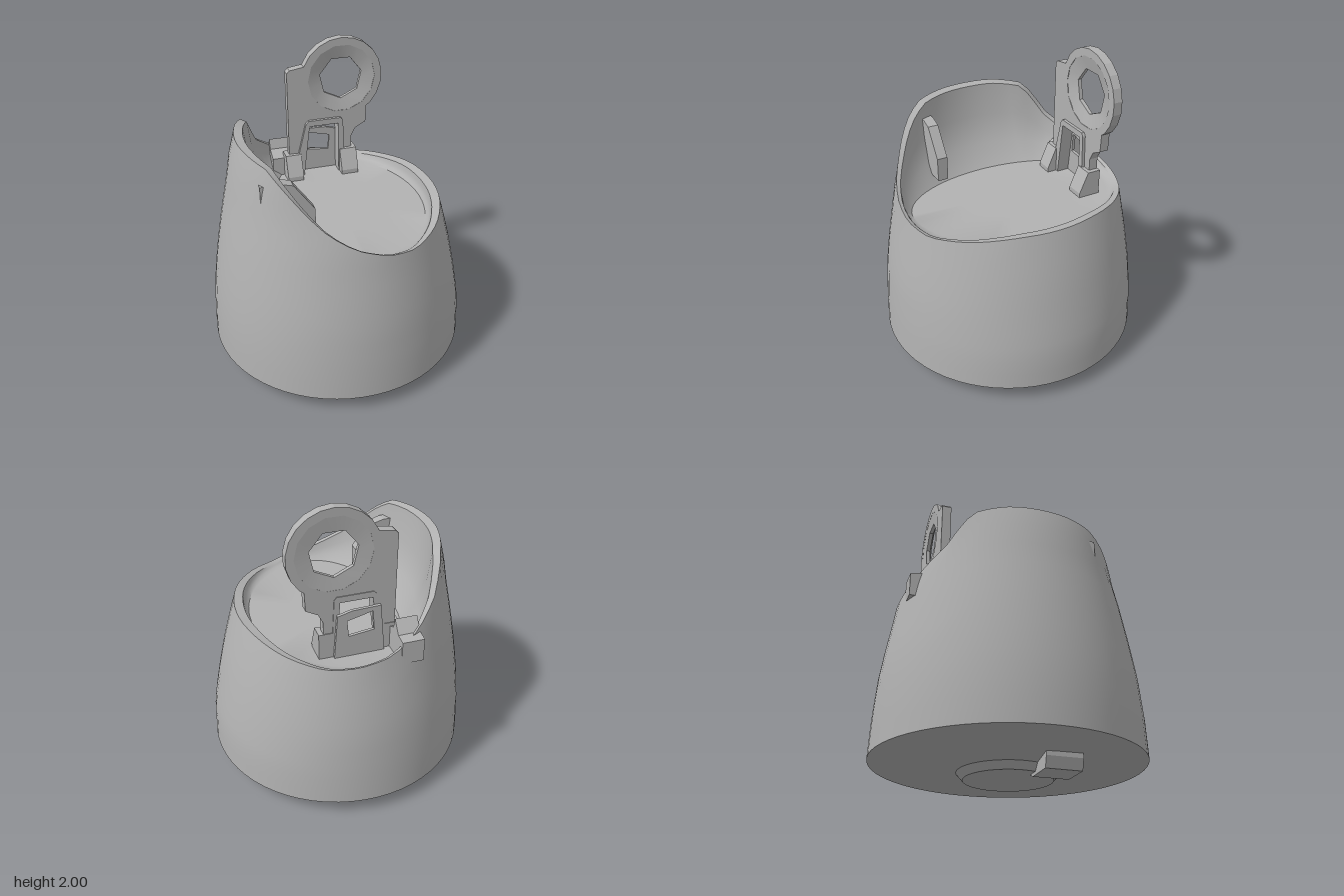
import * as THREE from 'three';
import { toCreasedNormals } from 'three/addons/utils/BufferGeometryUtils.js';

const grey = new THREE.MeshStandardMaterial({ color: 0xb2b2b2 });
grey.name = 'grey';

// Piecewise linear lookup
function lerpTable(xs, ys, x) {
  if (x <= xs[0]) return ys[0];
  for (let i = 1; i < xs.length; i++) {
    if (x <= xs[i]) return ys[i - 1] + (ys[i] - ys[i - 1]) * (x - xs[i - 1]) / (xs[i] - xs[i - 1]);
  }
  return ys[ys.length - 1];
}

// Cup half-widths by height: right side (-x), left side (+x), front and back
const levels = [0.11, 0.35, 0.6, 0.8, 1.0, 1.1, 1.3, 1.5, 1.6];
const widthRight = [0.86, 0.855, 0.83, 0.8, 0.765, 0.745, 0.705, 0.67, 0.635];
const widthLeft = [0.86, 0.85, 0.8, 0.755, 0.7, 0.665, 0.64, 0.62, 0.6];
const depth = [0.86, 0.85, 0.83, 0.8, 0.765, 0.75, 0.705, 0.69, 0.68];

// Rim height across x, for the front and the lower back
const rimX = [-0.62, -0.54, -0.45, -0.35, -0.25, -0.1, 0.1, 0.28, 0.5, 0.63];
const rimFront = [1.585, 1.57, 1.46, 1.34, 1.24, 1.15, 1.085, 1.06, 1.09, 1.12];
const rimBack = [1.585, 1.55, 1.34, 1.25, 1.18, 1.11, 1.075, 1.06, 1.09, 1.12];

function wallPoint(a, y) {
  const c = Math.cos(a);
  return [c * lerpTable(levels, c < 0 ? widthRight : widthLeft, y), y, Math.sin(a) * lerpTable(levels, depth, y)];
}

function rimHeight(a) {
  let y = 1.2;
  for (let i = 0; i < 30; i++) {
    const target = lerpTable(rimX, Math.sin(a) > 0 ? rimFront : rimBack, wallPoint(a, y)[0]);
    y += (target - y) * 0.5;
  }
  return y;
}

// Outer wall, rim, sloping inner wall and floor as one lofted surface
function cupGeometry() {
  const cols = 64, wallRows = 10, floorY = 1.03;
  const pos = [], index = [];
  const rows = wallRows + 6;
  for (let i = 0; i <= cols; i++) {
    const a = (i / cols) * Math.PI * 2;
    const c = Math.cos(a), s = Math.sin(a), h = rimHeight(a);
    for (let r = 0; r <= wallRows; r++) pos.push(...wallPoint(a, 0.11 + (h - 0.11) * r / wallRows));
    const top = wallPoint(a, h);
    const k = 1 - (0.03 + 0.06 * c * c);
    const inner = [top[0] * k, h - 0.01, top[2] * k];
    const foot = [c * (c < 0 ? 0.38 : 0.57), floorY, s * 0.67];
    pos.push(...inner);
    for (const [u, v] of [[0.15, 0.4], [0.45, 0.75], [1, 1]]) {
      pos.push(inner[0] + (foot[0] - inner[0]) * u, inner[1] + (foot[1] - inner[1]) * v, inner[2] + (foot[2] - inner[2]) * u);
    }
    pos.push(foot[0] * 0.5, floorY, foot[2] * 0.5, 0.05, floorY, 0);
  }
  const n = rows + 1;
  for (let i = 0; i < cols; i++) {
    for (let r = 0; r < rows; r++) {
      const a = i * n + r, b = a + n;
      index.push(a, a + 1, b);
      if (r < rows - 1) index.push(b, a + 1, b + 1);
    }
  }
  const g = new THREE.BufferGeometry();
  g.setAttribute('position', new THREE.Float32BufferAttribute(pos, 3));
  g.setIndex(index);
  return toCreasedNormals(g, 0.6);
}

const toPoints = (list) => list.map(([x, y]) => new THREE.Vector2(x, y));

// Extruded plate in the xy plane between two z values
function plate(outline, holes, zBack, zFront) {
  const shape = new THREE.Shape(toPoints(outline));
  for (const h of holes) shape.holes.push(new THREE.Path(toPoints(h)));
  const g = new THREE.ExtrudeGeometry(shape, { depth: zFront - zBack, bevelEnabled: false });
  return g.translate(0, 0, zBack);
}

// Profile in (z, y) extruded along x
function sidePrism(profile, xMin, xMax) {
  const g = plate(profile, [], 0, xMax - xMin);
  return g.rotateY(-Math.PI / 2).translate(xMax, 0, 0);
}

function arc(cx, cy, r, from, to, count) {
  return Array.from({ length: count + 1 }, (_, i) => {
    const a = from + (to - from) * i / count;
    return [cx + r * Math.cos(a), cy + r * Math.sin(a)];
  });
}

// Dished ring whose inner edge is a heptagon
function dishedRing() {
  const g = new THREE.LatheGeometry(toPoints([[0.15, -0.02], [0.245, -0.03], [0.245, 0.03], [0.15, 0.005], [0.15, -0.02]]), 14);
  const p = g.attributes.position;
  for (let i = 0; i < p.count; i++) {
    if (Math.hypot(p.getX(i), p.getZ(i)) > 0.2) continue;
    const step = Math.round(Math.atan2(p.getZ(i), p.getX(i)) / (Math.PI / 14));
    const k = ((step + 28) % 4) === 1 ? Math.cos(Math.PI / 7) : 1;
    p.setX(i, p.getX(i) * k);
    p.setZ(i, p.getZ(i) * k);
  }
  return toCreasedNormals(g.rotateX(Math.PI / 2), 0.3);
}

export function createModel() {
  const model = new THREE.Group();
  model.name = 'cupWithBracket';
  const add = (name, geometry, parent = model) => {
    const mesh = new THREE.Mesh(geometry, grey);
    mesh.name = name;
    parent.add(mesh);
    return mesh;
  };

  add('cup', cupGeometry());

  // Underside with its shallow hub and locking tab
  const under = new THREE.LatheGeometry(toPoints([[0, 0.02], [0.28, 0.02], [0.32, 0.065], [0.47, 0.098], [0.86, 0.11]]), 64);
  add('underside', toCreasedNormals(under, 0.3));
  add('hubTab', plate([[-0.45, 0.07], [-0.43, 0], [-0.22, 0], [-0.18, 0.02], [-0.18, 0.11], [-0.45, 0.11]], [], 0.08, 0.31));

  // Rib on the inside of the tall wall
  add('wallRib', plate([[-0.58, 1.1], [-0.25, 1.1], [-0.25, 1.26], [-0.38, 1.44], [-0.45, 1.46], [-0.58, 1.46]], [], 0.32, 0.39));

  // Upright bracket with a ring on top
  const bracket = new THREE.Group();
  bracket.name = 'bracket';
  model.add(bracket);
  const cx = 0.18, cy = 1.716;
  const outline = [
    [-0.2, 1.02], [-0.1, 1.02], [-0.08, 1.41], [0.165, 1.41], [0.165, 1.02], [0.25, 1.02],
    [0.25, 1.28], [0.28, 1.34], [0.355, 1.38], [0.36, 1.5],
    ...arc(cx, cy, 0.284, -0.75, 2.75, 12), [-0.18, 1.81], [-0.2, 1.79],
  ];
  add('bracketPlate', plate(outline, [arc(cx, cy, 0.235, 0, Math.PI * 2 * 13 / 14, 13)], -0.525, -0.465), bracket);
  add('dishedRing', dishedRing(), bracket).position.set(cx, cy, -0.495);

  // Arch around the opening, standing proud of the plate
  add('arch', plate([
    [-0.18, 1.02], [-0.1, 1.02], [-0.055, 1.4], [0.15, 1.4], [0.155, 1.02],
    [0.2, 1.02], [0.185, 1.42], [0.17, 1.44], [-0.06, 1.44], [-0.08, 1.42],
  ], [], -0.53, -0.445), bracket);

  // Panel behind the arch with its small window
  const panel = add('windowPanel', plate(
    [[-0.13, 1.02], [0.19, 1.02], [0.17, 1.32], [0.08, 1.345], [-0.1, 1.35]],
    [[[-0.06, 1.19], [0.1, 1.17], [0.11, 1.28], [-0.05, 1.32]]], -0.55, -0.53), bracket);
  panel.renderOrder = 0;

  // Splayed feet
  const footProfile = [[-0.53, 1.0], [-0.38, 1.0], [-0.38, 1.06], [-0.44, 1.2], [-0.53, 1.2]];
  for (const [name, x0, x1] of [['rightFoot', -0.23, -0.12], ['leftFoot', 0.16, 0.28]]) {
    add(name, sidePrism(footProfile, x0, x1), bracket);
  }

  // Stepped block bracing the bracket against the back rim
  add('backBlock', sidePrism([
    [-0.73, 1.03], [-0.5, 1.03], [-0.5, 1.16], [-0.58, 1.2], [-0.6, 1.27], [-0.66, 1.19], [-0.73, 1.18],
  ], -0.31, -0.17));

  return model;
}
